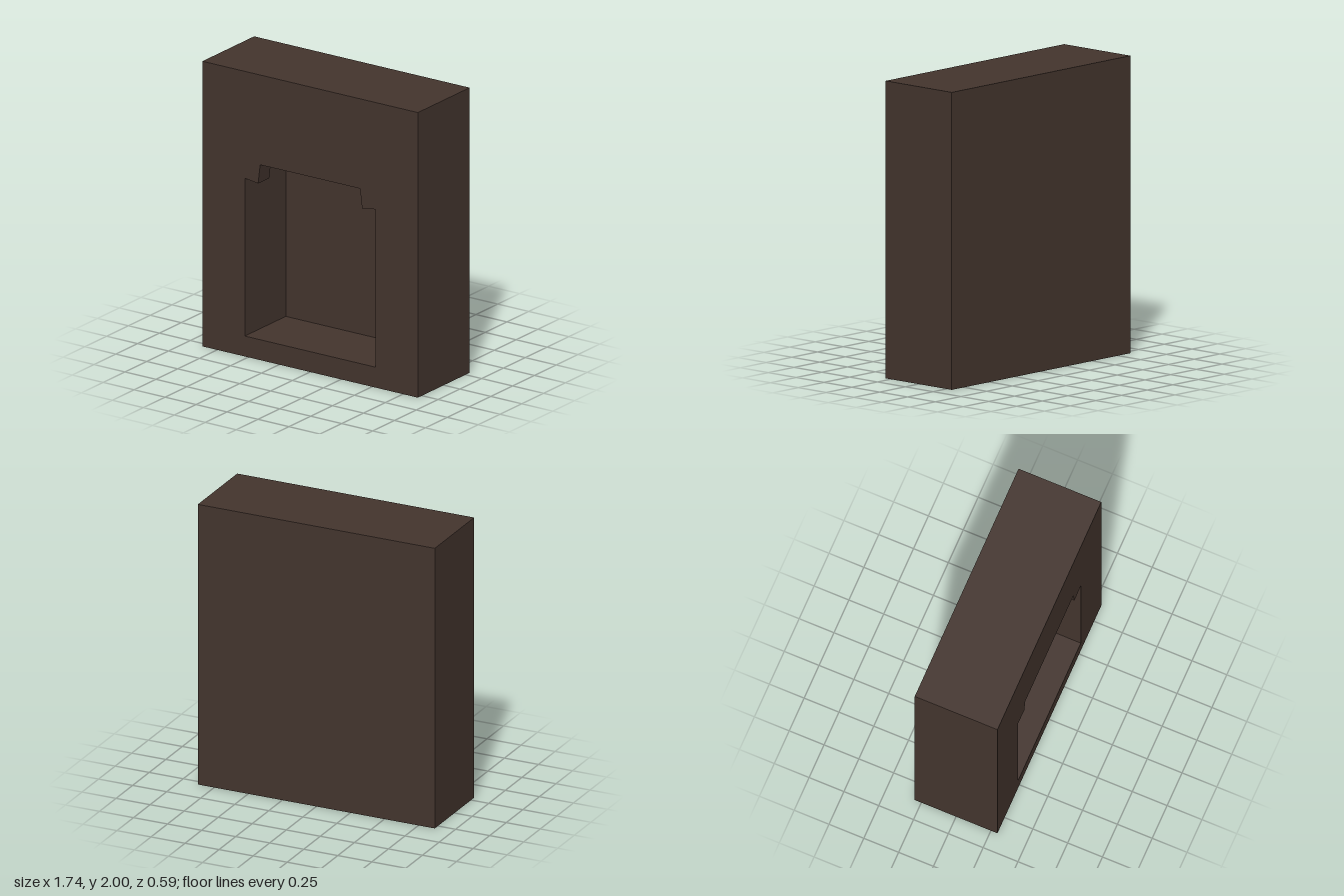
import * as THREE from 'three';

const WIDTH = 0.87, HEIGHT = 2, FRONT = 0.297, BACK = -0.297;
const LIP_BACK = 0.17, CHAMBER_BACK = -0.173;
const SIDE = 0.527, FLOOR = 0.143, CEILING = 1.37;

const rect = (half, y0, y1) => [[-half, y0], [half, y0], [half, y1], [-half, y1]];

// Flat face in the xy plane, facing +z, or -z when turned
function face(points, z, { hole, turned } = {}) {
  const shape = new THREE.Shape(points.map(p => new THREE.Vector2(...p)));
  if (hole) shape.holes.push(new THREE.Path(hole.map(p => new THREE.Vector2(...p))));
  const geometry = new THREE.ShapeGeometry(shape);
  if (turned) geometry.rotateY(Math.PI);
  return geometry.translate(0, 0, z);
}

// Open band of walls around an outline; counter-clockwise outlines face outward
function walls(points, z0, z1) {
  const positions = [];
  points.forEach((a, i) => {
    const b = points[(i + 1) % points.length];
    positions.push(...a, z0, ...b, z0, ...b, z1, ...a, z0, ...b, z1, ...a, z1);
  });
  const geometry = new THREE.BufferGeometry();
  geometry.setAttribute('position', new THREE.Float32BufferAttribute(positions, 3));
  geometry.computeVertexNormals();
  return geometry;
}

export function createModel() {
  const group = new THREE.Group();
  group.name = 'fireplaceBlock';
  const brown = new THREE.MeshStandardMaterial({ color: 0x43342d });
  brown.name = 'darkBrown';
  const add = (name, geometry) => {
    const mesh = new THREE.Mesh(geometry, brown);
    mesh.name = name;
    group.add(mesh);
  };

  const block = rect(WIDTH, 0, HEIGHT);
  const chamber = rect(SIDE, FLOOR, CEILING);
  // Shoulder of the opening, from the jamb to the raised centre
  const shoulder = [[SIDE, 1.25], [0.42, 1.235], [0.403, CEILING]];
  const mirrored = shoulder.map(([x, y]) => [-x, y]).reverse();
  const opening = [[-SIDE, FLOOR], [SIDE, FLOOR], ...shoulder, ...mirrored];

  // Outer block
  add('outerSides', walls(block, BACK, FRONT));
  add('backFace', face(block, BACK, { turned: true }));
  add('frontFace', face(block, FRONT, { hole: opening }));

  // Recess: shaped lip at the front, plain chamber behind it
  add('openingLip', walls([...opening].reverse(), LIP_BACK, FRONT));
  add('chamberWalls', walls([...chamber].reverse(), CHAMBER_BACK, LIP_BACK));
  add('chamberBack', face(chamber, CHAMBER_BACK));

  // Rear faces of the two corner brackets
  add('leftBracketBack', face([...mirrored, [-SIDE, CEILING]], LIP_BACK, { turned: true }));
  add('rightBracketBack', face([...shoulder, [SIDE, CEILING]], LIP_BACK, { turned: true }));

  return group;
}
